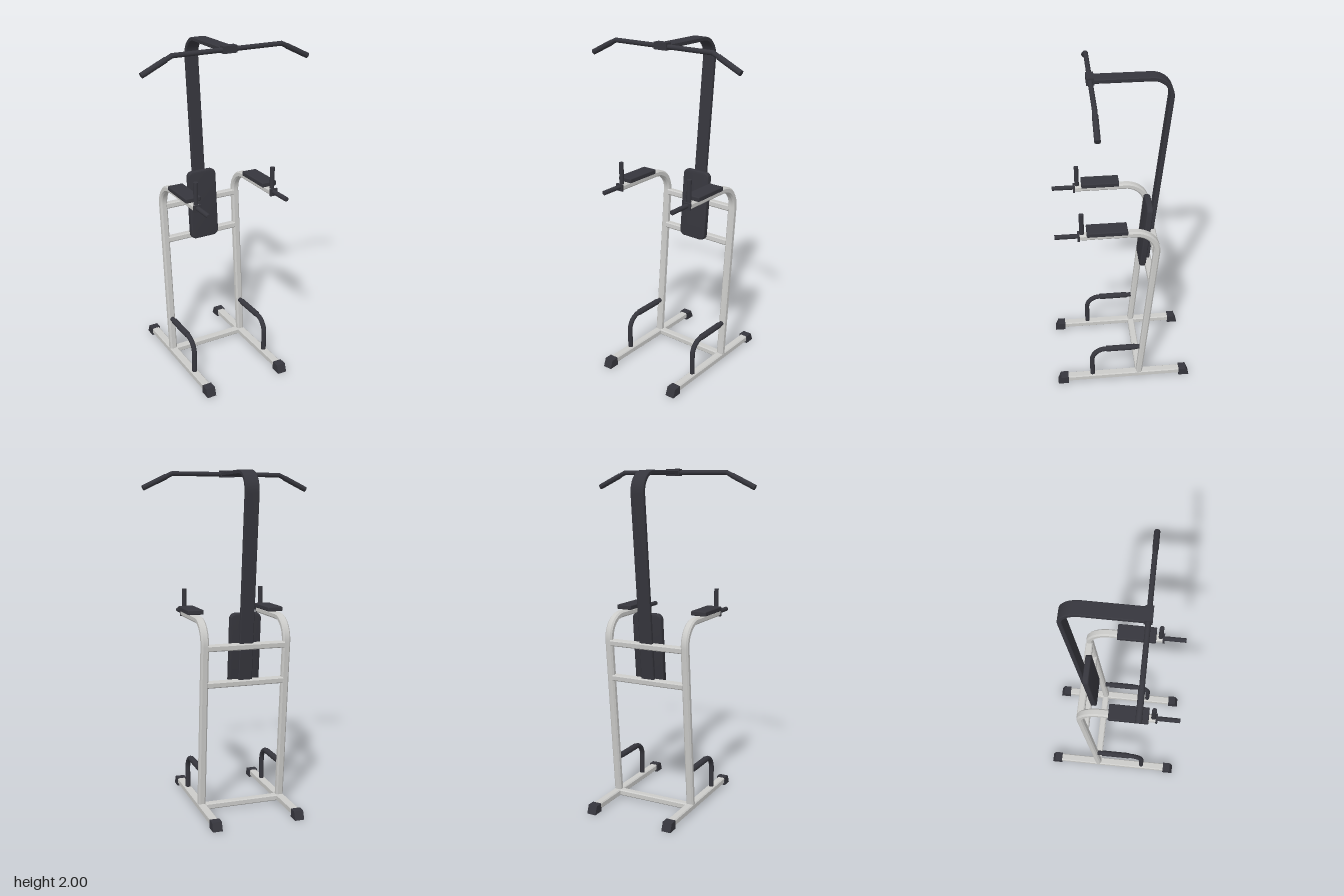
import * as THREE from 'three';
import { toCreasedNormals } from 'three/addons/utils/BufferGeometryUtils.js';
import { RoundedBoxGeometry } from 'three/addons/geometries/RoundedBoxGeometry.js';

const steel = new THREE.MeshStandardMaterial({ color: 0xcbcbc9 });
steel.name = 'lightSteel';
const black = new THREE.MeshStandardMaterial({ color: 0x36363d });
black.name = 'charcoal';

const SIDE = 0.248; // distance of each side frame from the middle

function add(parent, name, geometry, material, x = 0, y = 0, z = 0) {
  const mesh = new THREE.Mesh(geometry, material);
  mesh.name = name;
  mesh.position.set(x, y, z);
  parent.add(mesh);
  return mesh;
}

// Points of a path start -> corner -> end with the corner rounded over length d
function bend(start, corner, end, d) {
  const [s, c, e] = [start, corner, end].map(p => new THREE.Vector2(...p));
  const towards = (t, len) => t.clone().sub(c).setLength(len).add(c);
  const arc = new THREE.CubicBezierCurve(
    towards(s, d), towards(s, d * 0.45), towards(e, d * 0.45), towards(e, d));
  return [s, ...arc.getPoints(14), e];
}

// Sweeps a chamfered rectangle along points (z, y)
function sweep(points, width, thick, chamfer) {
  const w = width / 2, t = thick / 2, c = chamfer;
  const profile = [[w, t - c], [w - c, t], [c - w, t], [-w, t - c],
    [-w, c - t], [c - w, -t], [w - c, -t], [w, c - t]];
  const positions = [], index = [], n = profile.length;
  points.forEach((p, i) => {
    const a = points[Math.max(i - 1, 0)], b = points[Math.min(i + 1, points.length - 1)];
    const dir = b.clone().sub(a).normalize();
    for (const [u, v] of profile) positions.push(u, p.y + dir.x * v, p.x - dir.y * v);
  });
  for (let i = 0; i < points.length - 1; i++) {
    for (let j = 0; j < n; j++) {
      const a = i * n + j, b = i * n + (j + 1) % n;
      index.push(a, b, a + n, b, b + n, a + n);
    }
  }
  const last = (points.length - 1) * n;
  for (let j = 1; j < n - 1; j++) {
    index.push(0, j + 1, j, last, last + j, last + j + 1);
  }
  const g = new THREE.BufferGeometry();
  g.setAttribute('position', new THREE.Float32BufferAttribute(positions, 3));
  g.setIndex(index);
  return toCreasedNormals(g, 0.5);
}

// Straight chamfered tube lying along z, centred
function beam(length, width, height, chamfer = 0.006) {
  return sweep([new THREE.Vector2(-length / 2, 0), new THREE.Vector2(length / 2, 0)], width, height, chamfer);
}

// Round rod between two points
function rod(parent, name, from, to, radius, material) {
  const a = new THREE.Vector3(...from), b = new THREE.Vector3(...to);
  const mesh = add(parent, name, new THREE.CylinderGeometry(radius, radius, a.distanceTo(b), 20), material);
  mesh.position.copy(a).add(b).multiplyScalar(0.5);
  mesh.quaternion.setFromUnitVectors(new THREE.Vector3(0, 1, 0), b.sub(a).normalize());
  return mesh;
}

// Base rail, upright, arm rest and foot handle of one side
function sideFrame(x, name) {
  const g = new THREE.Group();
  g.name = name;
  g.position.x = x;
  add(g, 'baseRail', beam(0.74, 0.047, 0.038), steel, 0, 0.029, 0);

  // sloping rubber feet
  const shape = new THREE.Shape([[0.355, 0], [0.421, 0], [0.402, 0.05], [0.355, 0.05]]
    .map(p => new THREE.Vector2(...p)));
  const foot = new THREE.ExtrudeGeometry(shape, { depth: 0.057, bevelEnabled: false });
  foot.translate(0, 0, -0.0285);
  for (const turn of [-1, 1]) {
    add(g, turn < 0 ? 'frontFoot' : 'backFoot', foot, black).rotation.y = turn * Math.PI / 2;
  }

  // upright bending forward into the arm
  add(g, 'upright', sweep(bend([-0.097, 0.035], [-0.2, 1.147], [0.255, 1.147], 0.14),
    0.045, 0.038, 0.009), steel);
  add(g, 'armCap', new THREE.BoxGeometry(0.047, 0.042, 0.012), black, 0, 1.147, 0.256);
  add(g, 'armPad', new RoundedBoxGeometry(0.095, 0.028, 0.23, 2, 0.006), black, 0, 1.181, 0.097);
  rod(g, 'forwardGrip', [0, 1.15, 0.255], [0, 1.15, 0.39], 0.0135, black);
  rod(g, 'uprightGrip', [0, 1.155, 0.238], [0, 1.295, 0.238], 0.0135, black);

  // foot handle
  const path = new THREE.CatmullRomCurve3(
    bend([0.2, 0.04], [0.2, 0.255], [-0.11, 0.255], 0.085)
      .map(p => new THREE.Vector3(0, p.y, p.x)), false, 'centripetal');
  add(g, 'footHandle', new THREE.TubeGeometry(path, 48, 0.015, 14), black);
  rod(g, 'footHandleGrip', [0, 0.255, 0.11], [0, 0.255, -0.07], 0.0185, black);
  return g;
}

export function createModel() {
  const model = new THREE.Group();
  model.name = 'exerciseTower';
  model.add(sideFrame(SIDE, 'leftFrame'), sideFrame(-SIDE, 'rightFrame'));

  // cross bars between the side frames
  const bars = [['baseCrossBar', 0.029, -0.1, 0], ['lowerCrossBar', 0.782, -0.166, -0.092],
    ['upperCrossBar', 0.998, -0.187, -0.092]];
  for (const [name, y, z, tilt] of bars) {
    const geometry = beam(2 * SIDE - 0.03, 0.043, 0.036).rotateY(Math.PI / 2);
    add(model, name, geometry, steel, 0, y, z).rotation.x = tilt;
  }

  // flat mast bending forward at the top
  add(model, 'mast', sweep(bend([-0.162, 0.775], [-0.289, 1.978], [0.16, 1.978], 0.12),
    0.082, 0.024, 0.004), black);

  // back rest
  const w = 0.085, h = 0.205, r = 0.025;
  const outline = new THREE.Shape();
  outline.absarc(w - r, h - r, r, 0, Math.PI / 2);
  outline.absarc(r - w, h - r, r, Math.PI / 2, Math.PI);
  outline.absarc(r - w, r - h, r, Math.PI, Math.PI * 1.5);
  outline.absarc(w - r, r - h, r, Math.PI * 1.5, Math.PI * 2);
  const pad = new THREE.ExtrudeGeometry(outline, {
    depth: 0.02, bevelSize: 0.008, bevelThickness: 0.008, bevelSegments: 3, curveSegments: 6 });
  pad.translate(0, 0, -0.01);
  add(model, 'backRest', toCreasedNormals(pad, 0.6), black, 0, 0.978, -0.15).rotation.x = -0.096;

  // pull-up bar with drooping grips
  add(model, 'barClamp', new THREE.BoxGeometry(0.084, 0.04, 0.042), black, 0, 1.979, 0.157);
  rod(model, 'pullUpBar', [-0.335, 1.977, 0.157], [0.335, 1.977, 0.157], 0.0135, black);
  for (const s of [-1, 1]) {
    const side = s > 0 ? 'left' : 'right';
    add(model, side + 'BarElbow', new THREE.SphereGeometry(0.0135, 16, 12), black, s * 0.335, 1.977, 0.157);
    rod(model, side + 'BarEnd', [s * 0.335, 1.977, 0.157], [s * 0.51, 1.893, 0.157], 0.0135, black);
    rod(model, side + 'BarGrip', [s * 0.37, 1.96, 0.157], [s * 0.51, 1.893, 0.157], 0.016, black);
  }
  return model;
}
